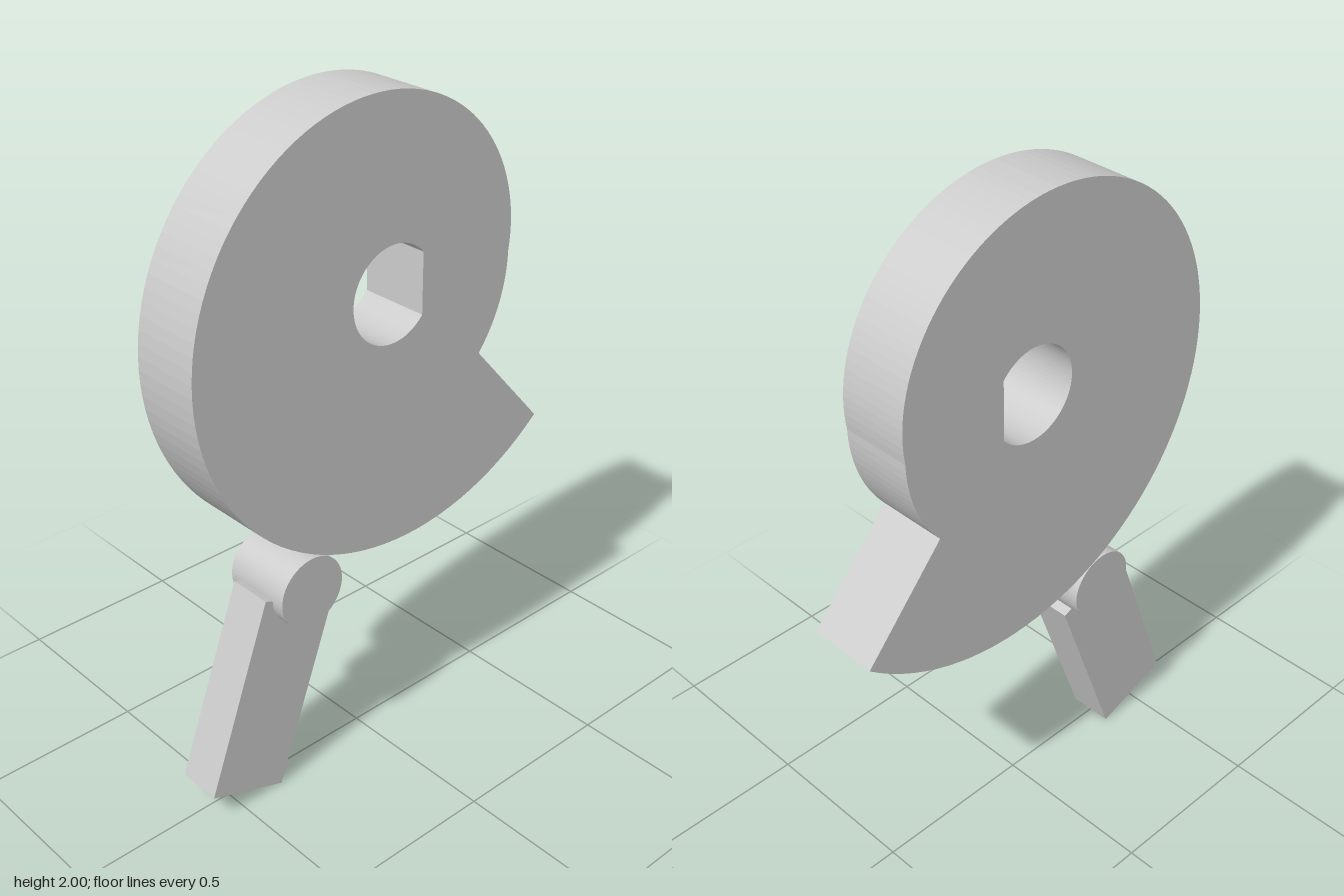
import * as THREE from 'three';

const DEPTH = 0.216;
const AXIS = new THREE.Vector2(0.031, 1.452);
const deg = THREE.MathUtils.degToRad;

// Snail cam outline: short dwell, then a steady spiral rise, closed by the drop step
function camShape() {
  const points = [];
  const polar = (angle, r) =>
    points.push(new THREE.Vector2(r * Math.cos(deg(angle)), r * Math.sin(deg(angle))));
  for (let i = 0; i < 12; i++) polar(-40 + (40 * i) / 12, 0.436);
  for (let i = 0; i <= 100; i++) {
    const angle = 3.16 * i;
    polar(angle, 0.436 + (0.109 * angle) / 90);
  }
  const shape = new THREE.Shape(points);

  // D-shaped shaft bore with its flat on +x
  const bore = new THREE.Path();
  const flat = Math.acos(0.107 / 0.14);
  bore.absarc(0, 0, 0.14, flat, Math.PI * 2 - flat, false);
  bore.closePath();
  shape.holes.push(bore);
  return shape;
}

export function createModel() {
  const model = new THREE.Group();
  const material = new THREE.MeshStandardMaterial({ color: 0xcccccc });
  const add = (name, geometry, x, y, parent = model) => {
    const mesh = new THREE.Mesh(geometry, material);
    mesh.name = name;
    mesh.position.set(x, y, 0);
    parent.add(mesh);
    return mesh;
  };

  // Cam disc
  const cam = new THREE.ExtrudeGeometry(camShape(), {
    depth: DEPTH, bevelEnabled: false, curveSegments: 32,
  });
  cam.translate(0, 0, -DEPTH / 2);
  add('snailCam', cam, AXIS.x, AXIS.y);

  // Follower: leaning bar with a roller at its upper end
  const follower = new THREE.Group();
  follower.name = 'follower';
  model.add(follower);
  const bar = add('followerBar', new THREE.BoxGeometry(0.259, 0.607, 0.135), -0.375, 0.333, follower);
  bar.rotation.z = deg(-20);
  const roller = new THREE.CylinderGeometry(0.108, 0.108, DEPTH, 48);
  roller.rotateX(Math.PI / 2);
  add('followerRoller', roller, -0.261, 0.654, follower);

  return model;
}
